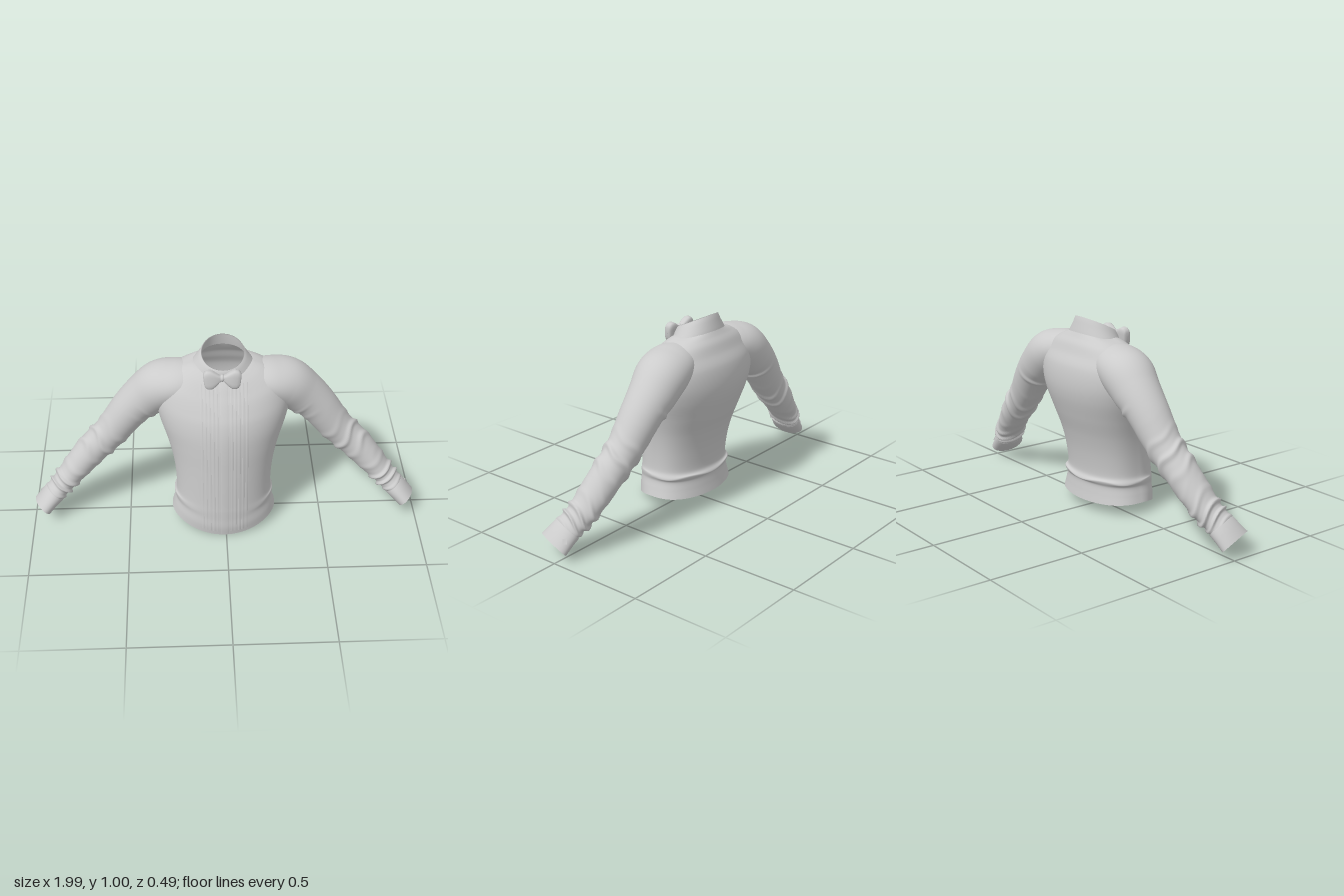
import * as THREE from 'three';

const material = new THREE.MeshStandardMaterial({ color: 0xcccccc, roughness: 0.9, side: THREE.DoubleSide });
const V = (x, y, z) => new THREE.Vector3(x, y, z);
const bump = (t, centre, width) => Math.exp(-(((t - centre) / width) ** 2));
const OFFSET = -0.008; // the body sits slightly to its right

// Skin over a grid of points: point(row 0..1, column 0..1)
function loft(rows, cols, closed, point, name) {
  const pos = [], index = [], n = closed ? cols : cols + 1;
  for (let i = 0; i <= rows; i++) for (let j = 0; j < n; j++) pos.push(...point(i / rows, j / cols).toArray());
  for (let i = 0; i < rows; i++) for (let j = 0; j < cols; j++) {
    const a = i * n + j, b = i * n + ((j + 1) % n), c = a + n, d = b + n;
    index.push(a, c, b, b, c, d);
  }
  const g = new THREE.BufferGeometry();
  g.setAttribute('position', new THREE.Float32BufferAttribute(pos, 3));
  g.setIndex(index);
  g.computeVertexNormals();
  const m = new THREE.Mesh(g, material);
  m.name = name;
  return m;
}

// Smooth interpolation of rows of six numbers
function sixCurve(rows) {
  const make = (k) => new THREE.CatmullRomCurve3(rows.map((r) => V(r[k], r[k + 1], r[k + 2])), false, 'catmullrom', 0.5);
  const a = make(0), b = make(3);
  return (t) => [...a.getPoint(t).toArray(), ...b.getPoint(t).toArray()];
}

// Torso levels: y at side, front and back; half width; z at front and back
const torso = sixCurve([
  [0.06, 0.0, 0.05, 0.268, 0.235, -0.145],
  [0.10, 0.05, 0.10, 0.257, 0.24, -0.138],
  [0.14, 0.10, 0.145, 0.248, 0.238, -0.135],
  [0.168, 0.145, 0.166, 0.255, 0.237, -0.147],
  [0.20, 0.19, 0.195, 0.243, 0.235, -0.132],
  [0.30, 0.30, 0.30, 0.246, 0.23, -0.145],
  [0.40, 0.40, 0.40, 0.26, 0.224, -0.17],
  [0.50, 0.50, 0.50, 0.286, 0.217, -0.205],
  [0.60, 0.59, 0.60, 0.318, 0.205, -0.235],
  [0.68, 0.66, 0.68, 0.334, 0.186, -0.244],
  [0.75, 0.71, 0.76, 0.33, 0.162, -0.235],
  [0.81, 0.755, 0.82, 0.305, 0.136, -0.208],
  [0.85, 0.79, 0.865, 0.262, 0.112, -0.19],
  [0.88, 0.825, 0.895, 0.205, 0.088, -0.17],
  [0.895, 0.85, 0.915, 0.16, 0.068, -0.158],
  [0.90, 0.865, 0.93, 0.13, 0.055, -0.15],
]);

function torsoPoint(t, angle) {
  const [yS, yF, yB, w, zF, zB] = torso(t);
  const s = Math.sin(angle), mid = (zF + zB) / 2, depth = (zF - zB) / 2;
  const y = yS + ((s > 0 ? yF : yB) - yS) * s * s;
  // the back is flatter than the front
  const z = mid + depth * (s > 0 ? s : -Math.pow(-s, 0.72));
  return V(OFFSET + w * Math.cos(angle), y + 0.006 * bump(t, 0.2, 0.03) * Math.sin(5 * angle), z);
}

// Thin raised strip running up the shirt front
function frontStrip(x, width, from, to, lift, name) {
  const section = [[-0.5, 0], [-0.35, lift], [0, lift], [0.35, lift], [0.5, 0]];
  return loft(60, 4, false, (v, u) => {
    const [sx, l] = section[Math.round(u * 4)], t = from + (to - from) * v;
    const p = torsoPoint(t, Math.acos((x + sx * width) / torso(t)[3]));
    p.z += l + 0.0004;
    return p;
  }, name);
}

// Sleeve centre line with radius in the arm plane and radius front to back
const sleeve = sixCurve([
  [0.15, 0.79, -0.056, 0.092, 0.115, 0],
  [0.235, 0.778, -0.062, 0.106, 0.134, 0],
  [0.315, 0.745, -0.077, 0.122, 0.134, 0],
  [0.39, 0.683, -0.086, 0.115, 0.12, 0],
  [0.475, 0.60, -0.085, 0.10, 0.105, 0],
  [0.58, 0.465, -0.074, 0.088, 0.09, 0],
  [0.69, 0.355, -0.057, 0.081, 0.085, 0],
  [0.815, 0.215, -0.022, 0.064, 0.081, 0],
  [0.885, 0.143, 0.01, 0.054, 0.077, 0],
  [0.957, 0.07, 0.042, 0.046, 0.09, 0],
]);

function sleevePoint(t, angle, grow) {
  const [x, y, z, r, h] = sleeve(t);
  const a = sleeve(Math.max(0, t - 0.02)), b = sleeve(Math.min(1, t + 0.02));
  const T = V(b[0] - a[0], b[1] - a[1], b[2] - a[2]).normalize();
  const N = V(-T.y, T.x, 0).normalize(), B = V().crossVectors(T, N);
  return V(x, y, z).addScaledVector(N, (r + grow) * Math.cos(angle)).addScaledVector(B, (h + grow) * Math.sin(angle));
}

// Cloth folds gathered at the armpit, elbow and wrist
function folds(t, a) {
  const ridge = (v) => Math.pow(0.5 + 0.5 * Math.sin(v), 3) - 0.3;
  return 0.009 * bump(t, 0.4, 0.035) * ridge(85 * t + 2 * Math.sin(a)) * Math.max(0, 0.3 - Math.cos(a))
    + 0.011 * bump(t, 0.61, 0.07) * ridge(95 * t + 2.4 * Math.sin(a + 1) + Math.sin(3 * a))
    + 0.017 * bump(t, 0.82, 0.07) * ridge(120 * t + 2.6 * Math.sin(a) + 1.6 * Math.sin(2 * a + 2));
}

function createSleeve(side) {
  const g = new THREE.Group();
  g.name = side > 0 ? 'leftSleeve' : 'rightSleeve';
  g.add(loft(150, 56, true, (v, u) => {
    const t = v * 0.91, a = u * Math.PI * 2;
    return sleevePoint(t, a, folds(t, a));
  }, 'sleeveCloth'));
  // Cuff with a thickness: outer wall, then back up the inside
  const wall = [[0.895, -0.004], [0.9, 0.003], [0.945, 0.002], [1, 0.003], [1, -0.001], [0.9, -0.006]];
  g.add(loft(5, 56, true, (v, u) => {
    const [t, grow] = wall[Math.round(v * 5)];
    return sleevePoint(t, u * Math.PI * 2, grow);
  }, 'cuff'));
  // Cuff link on the outer rear of the cuff
  const link = new THREE.Mesh(new THREE.BoxGeometry(0.02, 0.026, 0.007), material);
  link.name = 'cuffLink';
  const rear = Math.sign(sleevePoint(0.95, -1, 0).z - sleevePoint(0.95, 1, 0).z);
  link.position.copy(sleevePoint(0.95, 0.9 * rear, 0.003));
  link.lookAt(sleevePoint(0.95, 0.75 * rear, 0.1));
  g.add(link);
  g.scale.x = side;
  return g;
}

function createBowTie() {
  const g = new THREE.Group();
  g.name = 'bowTie';
  // Each wing swells from the knot to a broad, rounded end: x, half height, half depth
  const stations = [[0.002, 0.012, 0.012], [0.016, 0.02, 0.017], [0.034, 0.037, 0.022], [0.054, 0.05, 0.024],
    [0.072, 0.05, 0.023], [0.085, 0.042, 0.02], [0.091, 0.028, 0.014], [0.091, 0.001, 0.001]];
  const square = (v) => Math.sign(v) * Math.pow(Math.abs(v), 0.6);
  for (const side of [-1, 1]) {
    const wing = loft(7, 32, true, (v, u) => {
      const [x, h, d] = stations[Math.round(v * 7)], a = u * Math.PI * 2;
      return V(x, h * square(Math.sin(a)), d * square(Math.cos(a)));
    }, side > 0 ? 'leftWing' : 'rightWing');
    wing.scale.x = side;
    wing.rotation.z = -0.12 * side;
    g.add(wing);
  }
  const knot = new THREE.Mesh(new THREE.SphereGeometry(0.019, 20, 14), material);
  knot.name = 'knot';
  knot.scale.x = 0.75;
  g.add(knot);
  g.position.set(-0.015, 0.884, 0.082);
  g.rotation.x = -0.12;
  return g;
}

function createCollar() {
  // Half width; front y and z; back y and z, outside up then inside down
  const rings = [[0.156, 0.845, 0.064, 0.918, -0.16], [0.146, 0.862, 0.063, 0.932, -0.157],
    [0.122, 0.888, 0.057, 0.968, -0.147], [0.108, 0.905, 0.051, 0.996, -0.14],
    [0.103, 0.903, 0.047, 0.994, -0.136], [0.12, 0.865, 0.05, 0.935, -0.147]];
  return loft(5, 64, true, (v, u) => {
    const [w, yF, zF, yB, zB] = rings[Math.round(v * 5)], a = u * Math.PI * 2, f = (Math.sin(a) + 1) / 2;
    return V(OFFSET + w * Math.cos(a), yB + (yF - yB) * f, zB + (zF - zB) * f);
  }, 'collar');
}

export function createModel() {
  const model = new THREE.Group();
  model.name = 'dressShirt';
  model.add(loft(150, 112, true, (v, u) => torsoPoint(v, u * Math.PI * 2), 'torso'));
  model.add(createCollar(), createBowTie(), createSleeve(1), createSleeve(-1));

  // Button placket and fine pleats down the front
  model.add(frontStrip(0, 0.04, 0.005, 0.93, 0.0015, 'placket'));
  for (const side of [-1, 1]) for (let i = 0; i < 5; i++) {
    model.add(frontStrip(side * (0.036 + i * 0.019), 0.012, 0.03, 0.9 - i * 0.008, 0.001, 'pleat'));
  }
  return model;
}
